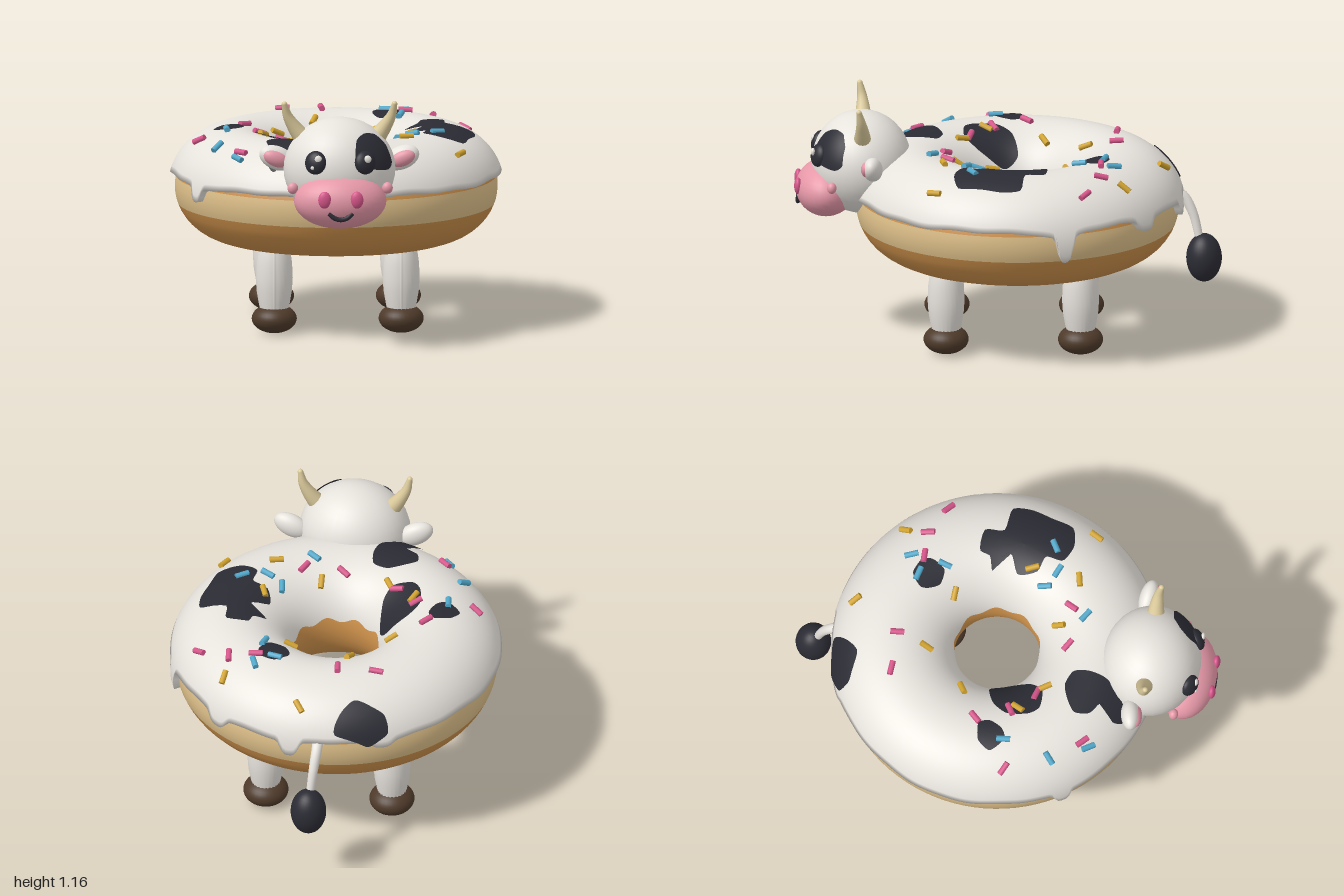
import * as THREE from 'three';
import { ParametricGeometry } from 'three/addons/geometries/ParametricGeometry.js';

const V = (x, y, z) => new THREE.Vector3(x, y, z);
const mat = (name, color, double) => {
  const m = new THREE.MeshStandardMaterial({ color });
  m.name = name;
  if (double) m.side = THREE.DoubleSide;
  return m;
};

const RING = 0.475, MID_Y = 0.64, MID_Z = -0.05;

// Point on the icing surface: t runs round the ring, p round its section
function icingPoint(t, p, off = 0) {
  const c = Math.cos(p);
  const r = RING + ((c > 0 ? 0.305 : 0.285) + off) * c;
  return V(r * Math.cos(t), MID_Y + (0.28 + off) * Math.sin(p), MID_Z + r * Math.sin(t));
}

// Point on the icing straight below a place seen from the top
function onIcing(x, z, off) {
  const dx = x, dz = z - MID_Z, d = Math.hypot(dx, dz) - RING;
  const k = THREE.MathUtils.clamp(d / (d > 0 ? 0.305 : 0.285), -0.985, 0.985);
  return icingPoint(Math.atan2(dz, dx), Math.acos(k), off);
}

// Thin patch filling a closed outline, laid on a surface by place(a, b)
function patchGeometry(outline, place, rings = 7, n = 60) {
  const curve = new THREE.CatmullRomCurve3(outline.map(([a, b]) => V(a, b, 0)), true, 'catmullrom', 0.35);
  const edge = curve.getPoints(n).slice(0, n);
  const mid = edge.reduce((s, p) => s.add(p), V(0, 0, 0)).divideScalar(n);
  const pos = [], idx = [];
  for (let i = 0; i <= rings; i++) for (let j = 0; j < n; j++) {
    const q = mid.clone().lerp(edge[j], i / rings);
    pos.push(...place(q.x, q.y).toArray());
    if (i === rings) continue;
    const a = i * n + j, b = i * n + (j + 1) % n;
    if (i) idx.push(a, b, a + n);
    idx.push(b, b + n, a + n);
  }
  const g = new THREE.BufferGeometry();
  g.setAttribute('position', new THREE.Float32BufferAttribute(pos, 3));
  g.setIndex(idx);
  g.computeVertexNormals();
  return g;
}

// Tube whose radius changes from r0 to r1
function taperedTube(points, r0, r1, seg = 20, sides = 16) {
  const curve = new THREE.CatmullRomCurve3(points);
  const g = new THREE.TubeGeometry(curve, seg, 1, sides);
  const p = g.attributes.position, v = V(0, 0, 0);
  for (let i = 0; i < p.count; i++) {
    const u = Math.floor(i / (sides + 1)) / seg, c = curve.getPointAt(u);
    v.fromBufferAttribute(p, i).sub(c).multiplyScalar(THREE.MathUtils.lerp(r0, r1, u)).add(c);
    p.setXYZ(i, v.x, v.y, v.z);
  }
  return g;
}

export function createModel() {
  const model = new THREE.Group();
  const white = mat('icing white', 0xe6e2dc, true), black = mat('charcoal', 0x2b2b34, true);
  const crust = mat('baked crust', 0xcb8f4a), pale = mat('pale dough', 0xdcbe88);
  const pink = mat('soft pink', 0xe698a8), hot = mat('deep pink', 0xd6568a);
  const brown = mat('hoof brown', 0x4e3a2a), horn = mat('horn cream', 0xdccb9c);
  const blue = mat('sprinkle blue', 0x52a8ca), gold = mat('sprinkle gold', 0xd0a22e);

  const add = (name, geo, m, parent = model) => {
    const mesh = new THREE.Mesh(geo, m);
    mesh.name = name;
    parent.add(mesh);
    return mesh;
  };
  const ball = (name, m, pos, size, parent) => {
    const mesh = add(name, new THREE.SphereGeometry(1, 32, 20), m, parent);
    mesh.position.set(...pos);
    mesh.scale.set(...size);
    return mesh;
  };

  // Dough ring with a pale band round its outside
  const dough = (name, p0, p1, n, m) => {
    const pts = [];
    for (let i = 0; i <= n; i++) {
      const p = p0 + (p1 - p0) * i / n;
      pts.push(new THREE.Vector2(RING + 0.275 * Math.cos(p), 0.25 * Math.sin(p)));
    }
    add(name, new THREE.LatheGeometry(pts, 96), m).position.set(0, MID_Y, MID_Z);
  };
  dough('doughBand', -0.305, 0.201, 8, pale);
  dough('doughCrust', 0.201, Math.PI * 2 - 0.305, 40, crust);

  // Icing with drips: angle, depth, half width
  const drips = [[-0.3, 0.52, 0.05], [-0.89, 0.2, 0.07], [-1.4, 0.3, 0.06], [-1.97, 0.1, 0.07], [2.59, 0.28, 0.05]];
  const rows = 28;
  const icing = (u, v, target) => {
    const t = -u * Math.PI * 2;
    let start = 0.25 + 0.015 * Math.sin(7 * t) + 0.012 * Math.sin(17 * t + 1);
    for (const [a, depth, w] of drips) {
      const d = Math.abs(Math.atan2(Math.sin(t - a), Math.cos(t - a))) / w;
      start -= depth * (0.8 * Math.exp(-(d ** 4)) + 0.2 * Math.exp(-d * d / 4));
    }
    const end = Math.PI - 0.25 + 0.04 * Math.sin(9 * t);
    const p = start + (end - start) * Math.max(0, v - 1 / rows) / (1 - 1 / rows);
    target.copy(icingPoint(t, p, -0.032 * Math.max(0, 1 - v * rows)));
  };
  add('icing', new ParametricGeometry(icing, 360, rows), white);

  // Dark patches on the icing, outlines as x, z
  const patches = [
    [[-0.32, -0.74], [-0.23, -0.79], [-0.08, -0.8], [-0.1, -0.74], [-0.16, -0.68], [-0.25, -0.69], [-0.3, -0.7]],
    [[0.18, -0.44], [0.24, -0.48], [0.31, -0.45], [0.32, -0.4], [0.28, -0.34], [0.21, -0.35], [0.18, -0.4]],
    [[0.32, -0.12], [0.38, -0.14], [0.4, -0.19], [0.5, -0.18], [0.51, -0.09], [0.63, -0.07], [0.64, 0.02], [0.61, 0.12],
      [0.58, 0.22], [0.48, 0.24], [0.4, 0.2], [0.41, 0.12], [0.34, 0.09], [0.32, 0], [0.4, -0.04], [0.38, -0.09]],
    [[-0.57, 0], [-0.53, -0.06], [-0.45, -0.07], [-0.43, -0.02], [-0.46, 0.04], [-0.51, 0.06]],
    [[-0.38, 0.05], [-0.33, -0.02], [-0.24, -0.05], [-0.2, 0.02], [-0.2, 0.14], [-0.24, 0.2], [-0.33, 0.2], [-0.37, 0.15]],
    [[-0.33, 0.36], [-0.27, 0.32], [-0.2, 0.3], [-0.13, 0.33], [-0.12, 0.4], [-0.14, 0.48], [-0.2, 0.55], [-0.3, 0.6],
      [-0.33, 0.54], [-0.26, 0.48], [-0.32, 0.43]],
  ];
  for (const o of patches) add('icingPatch', patchGeometry(o, (x, z) => onIcing(x, z, 0.006)), black);

  // Sprinkles: x, z, heading in degrees
  const sprinkles = [
    [hot, [[-0.24, -0.51, 5], [-0.06, -0.51, 85], [0.33, -0.44, 0], [0.455, -0.44, 85], [0.6, -0.365, 40], [-0.425, -0.09, -45],
      [-0.635, 0.075, 30], [-0.36, 0.065, -30], [-0.26, 0.175, 15], [-0.45, 0.415, 45], [0.005, 0.285, 35], [0.19, 0.275, -60]]],
    [gold, [[0.095, -0.725, 50], [-0.1, -0.37, -70], [-0.275, -0.175, -30], [0.465, -0.545, -75], [0.19, -0.28, 5], [-0.345, 0.1, -60],
      [-0.22, 0.21, 60], [0.105, 0.23, 90], [0.32, 0.29, -12], [0.355, 0.065, 70], [0.565, 0.33, -62]]],
    [blue, [[0.33, -0.5, 70], [0.24, -0.455, 15], [0.305, -0.34, -75], [-0.51, 0.055, 85], [-0.555, 0.275, -45], [-0.465, 0.445, 55],
      [0.15, 0.345, 35], [0.28, 0.135, 85], [0.35, 0.185, 25], [0.465, 0.155, -30]]],
  ];
  const rod = new THREE.CylinderGeometry(0.014, 0.014, 0.065, 10);
  for (const [m, list] of sprinkles) for (const [x, z, deg] of list) {
    const a = deg * Math.PI / 180, c = 0.02 * Math.cos(a), s = 0.02 * Math.sin(a);
    const mesh = add('sprinkle', rod, m);
    mesh.position.copy(onIcing(x, z, 0.008));
    const dir = onIcing(x + c, z + s, 0).sub(onIcing(x - c, z - s, 0)).normalize();
    mesh.quaternion.setFromUnitVectors(V(0, 1, 0), dir);
  }

  // Fluted legs and round hooves
  const legProfile = [[0.062, 0.1], [0.07, 0.14], [0.08, 0.2], [0.084, 0.26], [0.081, 0.33], [0.073, 0.39], [0.055, 0.45]];
  const legGeo = new THREE.LatheGeometry(legProfile.map(([r, y]) => new THREE.Vector2(r, y)), 48);
  const lp = legGeo.attributes.position;
  for (let i = 0; i < lp.count; i++) {
    const k = 1 + 0.025 * Math.cos(24 * Math.atan2(lp.getZ(i), lp.getX(i)));
    lp.setXYZ(i, lp.getX(i) * k, lp.getY(i), lp.getZ(i) * k);
  }
  legGeo.computeVertexNormals();
  for (const x of [-0.295, 0.295]) for (const z of [0.28, -0.345]) {
    add('leg', legGeo, white).position.set(x, 0, z);
    ball('hoof', brown, [x, 0.07, z], [0.105, 0.068, 0.105]);
  }

  // Tail and tuft
  add('tail', taperedTube([V(0, 0.72, -0.75), V(0, 0.68, -0.82), V(0.01, 0.6, -0.865), V(0.025, 0.46, -0.9)], 0.027, 0.018), white);
  ball('tailTuft', black, [0.028, 0.39, -0.917], [0.083, 0.115, 0.083]);

  // Head and face
  const head = new THREE.Group();
  head.name = 'head';
  model.add(head);
  const H = [0, 0.845, 0.675], R = [0.26, 0.24, 0.232];
  ball('skull', white, H, R, head);
  ball('muzzle', pink, [0, 0.72, 0.84], [0.215, 0.13, 0.142], head);
  const eyePatch = [[0.07, 0.93], [0.075, 1], [0.11, 1.025], [0.16, 1.015], [0.21, 0.965], [0.237, 0.89], [0.22, 0.86], [0.15, 0.87], [0.09, 0.87]];
  add('eyePatch', patchGeometry(eyePatch, (x, y) => {
    const k = 1 - (x / R[0]) ** 2 - ((y - H[1]) / R[1]) ** 2;
    const n = V(x / R[0], (y - H[1]) / R[1], Math.sqrt(Math.max(0, k))).normalize();
    return V(H[0] + n.x * (R[0] + 0.005), H[1] + n.y * (R[1] + 0.005), H[2] + n.z * (R[2] + 0.005));
  }), black, head);
  const smile = new THREE.CatmullRomCurve3([V(-0.055, 0.682, 0.966), V(-0.03, 0.66, 0.97), V(0, 0.652, 0.971), V(0.03, 0.66, 0.97), V(0.055, 0.682, 0.966)]);
  add('mouth', new THREE.TubeGeometry(smile, 24, 0.011, 8), black, head);

  for (const s of [-1, 1]) {
    const eye = ball('eye', black, [s * 0.115, 0.905, 0.873], [0.052, 0.055, 0.032], head);
    eye.rotation.set(-0.25, s * 0.45, 0);
    ball('eyeShine', white, [s * 0.115 + 0.012, 0.925, 0.9], [0.017, 0.018, 0.01], head);
    ball('eyeGlint', white, [s * 0.115 - 0.015, 0.885, 0.903], [0.009, 0.009, 0.006], head);
    ball('nostril', hot, [s * 0.075, 0.745, 0.97], [0.03, 0.04, 0.018], head);
    ball('cheek', pink, [s * 0.22, 0.775, 0.812], [0.025, 0.027, 0.022], head);
    ball('ear', white, [s * 0.29, 0.885, 0.62], [0.087, 0.055, 0.044], head).rotation.set(0, s * -0.15, s * 0.4);
    ball('innerEar', pink, [s * 0.293, 0.885, 0.643], [0.064, 0.038, 0.032], head).rotation.set(0, s * -0.15, s * 0.4);
    const path = [V(s * 0.165, 0.98, 0.67), V(s * 0.21, 1.04, 0.67), V(s * 0.242, 1.095, 0.675), V(s * 0.256, 1.15, 0.685)];
    add('horn', taperedTube(path, 0.045, 0.013), horn, head);
    ball('hornTip', horn, path[3].toArray(), [0.013, 0.013, 0.013], head);
  }
  return model;
}
